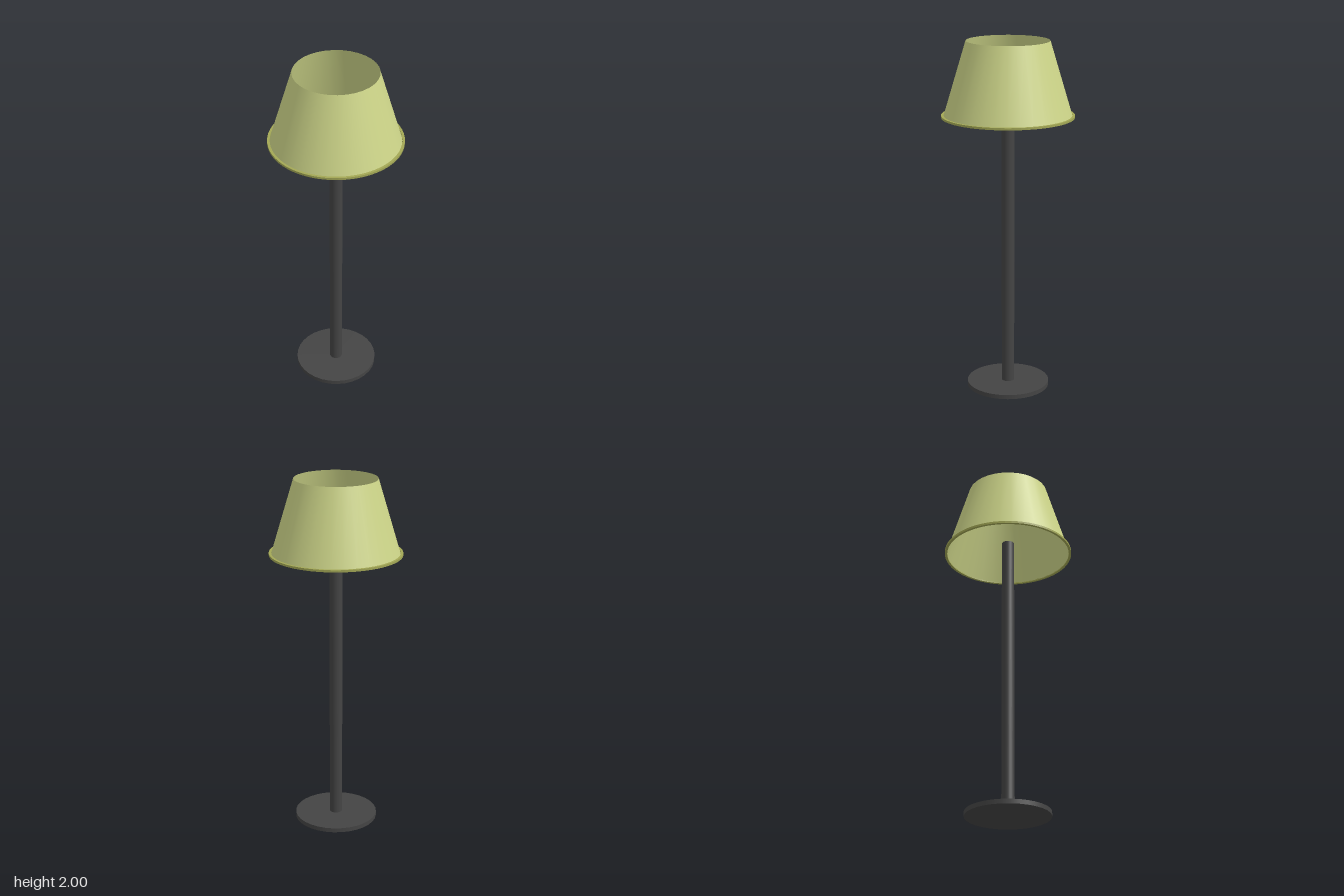
import * as THREE from 'three';

const SEGMENTS = 32;

export function createModel() {
  const group = new THREE.Group();
  const dark = new THREE.MeshStandardMaterial({ color: 0x444444 });
  const fabric = new THREE.MeshStandardMaterial({ color: 0xccd488, side: THREE.DoubleSide });
  const trim = new THREE.MeshStandardMaterial({ color: 0xa3a855 });

  const add = (name, geometry, material, y = 0) => {
    const mesh = new THREE.Mesh(geometry, material);
    mesh.name = name;
    mesh.position.y = y;
    group.add(mesh);
  };

  // Flat round foot
  add('base', new THREE.CylinderGeometry(0.235, 0.235, 0.025, SEGMENTS), dark, 0.0125);

  // Pole, ending a little way inside the shade
  const bottom = 0.025, top = 1.655;
  add('pole', new THREE.CylinderGeometry(0.036, 0.036, top - bottom, SEGMENTS), dark, (top + bottom) / 2);

  // Thin tapered shade, open at both ends
  add('shade', new THREE.CylinderGeometry(0.23, 0.355, 0.415, SEGMENTS, 1, true), fabric, 1.7925);

  // Flat ring around the lower edge of the shade
  const ring = new THREE.Shape().absarc(0, 0, 0.368, 0, Math.PI * 2);
  ring.holes.push(new THREE.Path().absarc(0, 0, 0.354, 0, Math.PI * 2, true));
  const rim = new THREE.ExtrudeGeometry(ring, { depth: 0.012, bevelEnabled: false, curveSegments: SEGMENTS });
  rim.rotateX(-Math.PI / 2);
  add('shadeRim', rim, trim, 1.58);

  return group;
}
